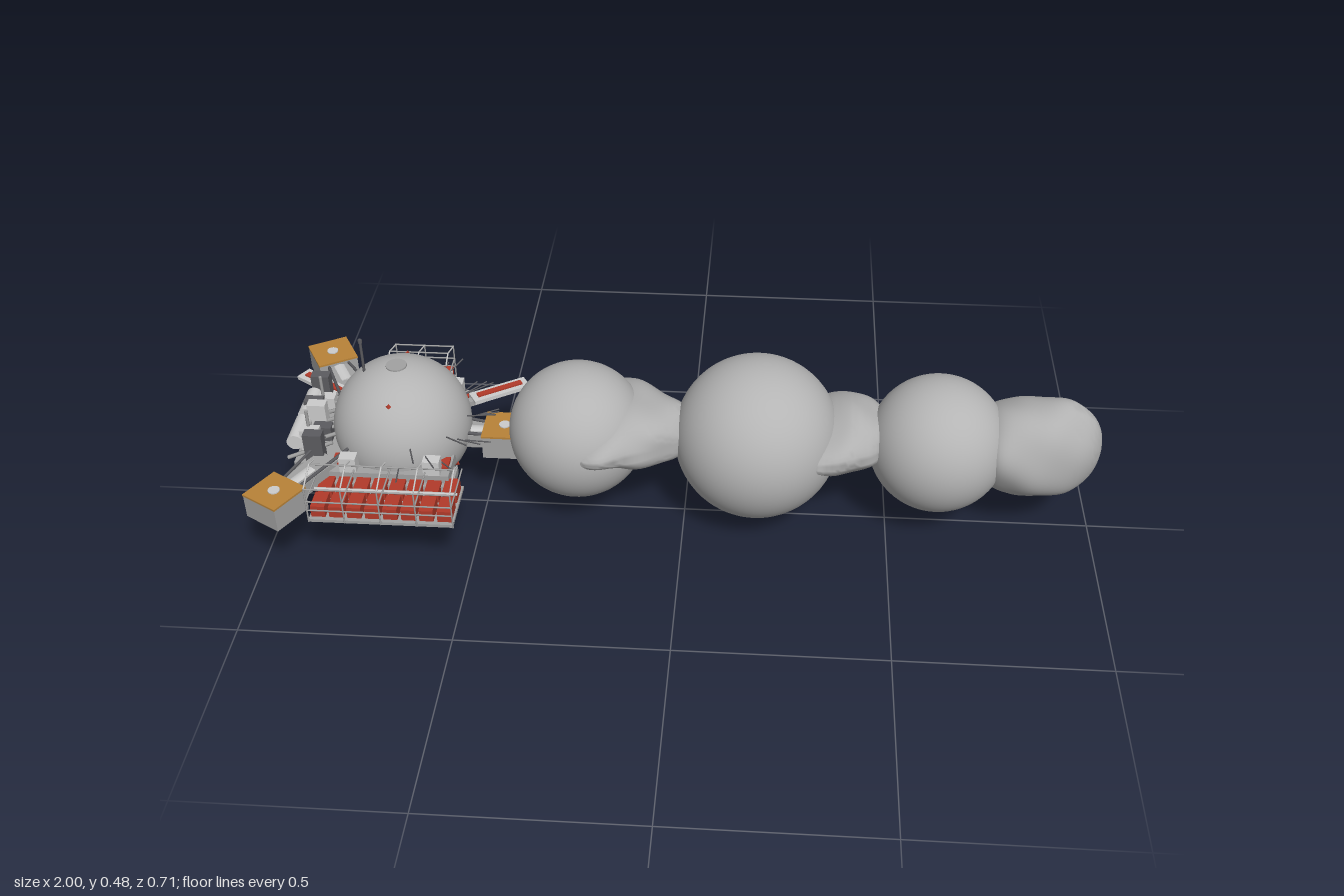
import * as THREE from 'three';
import { toCreasedNormals } from 'three/addons/utils/BufferGeometryUtils.js';

const material = (name, color, side = THREE.FrontSide) => {
  const m = new THREE.MeshStandardMaterial({ color, side });
  m.name = name;
  return m;
};

export function createModel() {
  const root = new THREE.Group();
  root.name = 'asteroidStation';
  const stone = material('stone grey', 0xb4b4b4);
  const metal = material('metal grey', 0xa2a2a2);
  const dark = material('dark grey', 0x5c5c60);
  const red = material('red', 0xb23a2a);
  const gold = material('gold', 0xb98338);
  const pale = material('pale grey', 0xcccccc);
  const Y = 0.242, HUB = -0.77, BALL = -0.69;

  const add = (parent, name, geo, mat, x = 0, y = 0, z = 0) => {
    const m = new THREE.Mesh(geo, mat);
    m.name = name;
    m.position.set(x, y, z);
    parent.add(m);
    return m;
  };
  const box = (p, name, mat, w, h, d, x, y, z) => add(p, name, new THREE.BoxGeometry(w, h, d), mat, x, y, z);
  const group = (name, parent = root) => {
    const g = new THREE.Group();
    g.name = name;
    parent.add(g);
    return g;
  };
  // Straight rod between two points
  const rod = (p, name, mat, a, b, r = 0.002) => {
    const va = new THREE.Vector3(...a), vb = new THREE.Vector3(...b);
    const dir = vb.clone().sub(va);
    const m = add(p, name, new THREE.CylinderGeometry(r, r, dir.length(), 6), mat);
    m.position.copy(va).add(vb).multiplyScalar(0.5);
    m.quaternion.setFromUnitVectors(new THREE.Vector3(0, 1, 0), dir.normalize());
    return m;
  };

  // Chain of spheres
  [[-0.26, 0.167], [0.175, 0.2], [0.61, 0.167], [BALL, 0.167]].forEach(([x, r], i) =>
    add(root, i === 3 ? 'stationSphere' : 'chainSphere', new THREE.SphereGeometry(r, 64, 40), stone, x, Y, 0));

  // Lumpy rocks lofted along x from rows of [x, half height, half depth]
  const rock = (name, rows, y, z, seed, bump) => {
    const curve = new THREE.CatmullRomCurve3(rows.map(r => new THREE.Vector3(...r)));
    const around = 56, along = 40;
    const geo = new THREE.CylinderGeometry(1, 1, 1, around, along, true);
    const pos = geo.attributes.position;
    for (let j = 0; j <= along; j++) {
      const s = curve.getPoint(1 - j / along);
      for (let i = 0; i <= around; i++) {
        const a = (i % around) / around * Math.PI * 2;
        const c = Math.cos(a), n = Math.sin(a);
        const lump = 1 + bump * (Math.sin(3 * a + s.x * 17 + seed) + 0.7 * Math.sin(5 * a - s.x * 29 + seed * 2)
          + 0.5 * Math.sin(2 * a + s.x * 55 + seed * 3));
        pos.setXYZ(j * (around + 1) + i, s.x, c * Math.max(s.y, 0) * lump, n * Math.max(s.z, 0) * lump);
      }
    }
    add(root, name, toCreasedNormals(geo, 0.9), rockMat, 0, y, z);
  };
  const rockMat = material('rock grey', 0xb0b0b0, THREE.DoubleSide);
  rock('connectorRock', [[-0.27, 0, 0.1], [-0.25, 0.03, 0.155], [-0.2, 0.065, 0.165], [-0.12, 0.085, 0.14],
    [-0.05, 0.07, 0.105], [0, 0.05, 0.065], [0.03, 0, 0]], 0.257, 0, 1, 0.04);
  rock('connectorRock', [[0.28, 0, 0.08], [0.31, 0.035, 0.145], [0.35, 0.065, 0.14], [0.4, 0.085, 0.12],
    [0.45, 0.07, 0.1], [0.48, 0.05, 0.06], [0.5, 0, 0]], 0.255, -0.005, 3, 0.04);
  rock('endRock', [[0.71, 0, 0], [0.735, 0.095, 0.1], [0.79, 0.115, 0.116], [0.86, 0.125, 0.108], [0.92, 0.12, 0.085],
    [0.965, 0.095, 0.055], [0.99, 0.055, 0.025], [1, 0, 0]], 0.244, 0, 5, 0.025);

  // Station deck beneath the sphere
  const station = group('station');
  box(station, 'deck', metal, 0.29, 0.022, 0.35, BALL - 0.005, 0.205, 0);
  for (const sx of [-1, 1]) for (const sz of [-1, 1]) {
    box(station, 'deckRedPanel', red, 0.03, 0.008, 0.04, BALL - 0.005 + sx * 0.125, 0.219, sz * 0.13);
    box(station, 'deckUnit', pale, 0.04, 0.04, 0.03, BALL + sx * 0.1, 0.235, sz * 0.16);
  }

  // Three pods on arms, set 120 degrees apart
  for (let i = 0; i < 3; i++) {
    const pod = group('pod', station);
    pod.position.set(HUB, 0, 0);
    pod.rotation.y = i * Math.PI * 2 / 3;
    box(pod, 'podBox', metal, 0.1, 0.06, 0.1, 0.33, 0.208, 0);
    box(pod, 'podTop', gold, 0.102, 0.005, 0.102, 0.33, 0.2405, 0);
    add(pod, 'podHatch', new THREE.CylinderGeometry(0.014, 0.014, 0.006, 16), pale, 0.33, 0.243, 0);
    box(pod, 'podArm', metal, 0.14, 0.035, 0.06, 0.22, 0.212, 0);
    const joint = add(pod, 'podJoint', new THREE.CylinderGeometry(0.028, 0.028, 0.08, 20), pale, 0.25, 0.205, 0);
    joint.rotation.z = Math.PI / 2;
    for (const s of [-1, 1]) rod(pod, 'podStrut', dark, [0.12, 0.25, s * 0.04], [0.29, 0.23, s * 0.025], 0.004);
  }

  // Railed trays filled with red blocks
  const tray = (name, x0, x1, z0, z1, cols, side) => {
    const g = group(name, station);
    const w = x1 - x0, d = z1 - z0, cx = (x0 + x1) / 2, cz = (z0 + z1) / 2;
    box(g, 'trayFloor', metal, w, 0.008, d, cx, 0.169, cz);
    const step = w / cols;
    for (let i = 0; i < cols; i++) for (let k = 0; k < 2; k++)
      box(g, 'redBlock', red, step * 0.78, 0.03, d * 0.38, x0 + step * (i + 0.5), 0.188, z0 + d * (0.26 + k * 0.48));
    const outer = side > 0 ? z1 : z0, inner = side > 0 ? z0 : z1, mid = outer - side * 0.065;
    for (const y of [0.2, 0.225, 0.262]) rod(g, 'longRail', metal, [x0, y, outer], [x1, y, outer]);
    rod(g, 'ridgeRail', metal, [x0, 0.285, mid], [x1, 0.285, mid]);
    rod(g, 'centreRail', pale, [x0, 0.206, cz], [x1, 0.206, cz], 0.004);
    const posts = Math.max(2, Math.round(cols / 2));
    for (let i = 0; i <= posts; i++) {
      const x = x0 + w * i / posts;
      rod(g, 'post', metal, [x, 0.165, outer], [x, 0.264, outer]);
      rod(g, 'slopedRail', pale, [x, 0.262, outer], [x, 0.285, mid]);
      rod(g, 'slopedRail', pale, [x, 0.285, mid], [x, 0.27, outer - side * 0.1]);
      rod(g, 'sideRail', metal, [x, 0.225, outer], [x, 0.225, inner]);
    }
  };
  tray('frontTray', -0.86, -0.52, 0.155, 0.3, 8, 1);
  tray('backTray', -0.77, -0.62, -0.3, -0.23, 4, -1);
  box(station, 'frontBridge', metal, 0.3, 0.02, 0.08, BALL, 0.185, 0.15);
  for (const s of [-1, 1]) {
    box(station, 'backBridge', metal, 0.022, 0.02, 0.12, BALL + s * 0.045, 0.21, -0.2);
    const p = box(station, 'slopedRedPanel', red, 0.02, 0.008, 0.075, BALL + s * 0.015, 0.195, -0.225);
    p.rotation.x = -0.35;
  }

  // Slanted radiator wings at the back corners
  for (const s of [-1, 1]) {
    const wing = group('wing', station);
    wing.position.set(-0.705 + s * 0.225, 0.225, -0.165);
    wing.rotation.y = s > 0 ? 0.56 : Math.PI - 0.56;
    box(wing, 'wingPanel', pale, 0.15, 0.01, 0.042, 0, 0, 0);
    box(wing, 'wingStripe', red, 0.12, 0.006, 0.016, 0, 0.006, 0);
    box(wing, 'wingArm', metal, 0.09, 0.014, 0.018, -0.09, -0.008, 0);
  }

  // Machinery bank on the right end
  const bank = group('machineryBank', station);
  box(bank, 'bankBase', metal, 0.09, 0.025, 0.28, -0.885, 0.2, 0);
  for (let i = -3; i <= 3; i++) {
    const h = 0.04 + 0.018 * ((i + 5) % 3);
    box(bank, 'bankUnit', i % 2 ? dark : pale, 0.045, h, 0.028, -0.9 + 0.02 * (i % 2), 0.212 + h / 2, i * 0.04);
    rod(bank, 'bankPipe', metal, [-0.95, 0.21, i * 0.04], [-0.84, 0.25, i * 0.035], 0.005);
  }
  for (const s of [-1, 1]) {
    const tank = add(bank, 'tank', new THREE.CylinderGeometry(0.02, 0.02, 0.09, 20), pale, -0.935, 0.24, s * 0.055);
    tank.rotation.x = Math.PI / 2;
    rod(bank, 'bankMast', metal, [-0.905, 0.2, s * 0.07], [-0.905, 0.315, s * 0.07], 0.004);
  }

  // Fine rods bristling from the sphere
  for (let i = 0; i < 16; i++) {
    const a = -1.45 + i * 0.193, c = Math.cos(a), s = Math.sin(a), y = 0.225 + 0.025 * (i % 3);
    rod(station, 'spike', dark, [BALL + 0.15 * c, y, 0.15 * s], [BALL + 0.235 * c, y + 0.015, 0.235 * s], 0.0018);
  }

  // Red studs on the upper and lower sphere
  const stud = (a, dy) => {
    const rr = Math.sqrt(0.167 ** 2 - dy ** 2);
    const n = new THREE.Vector3(rr * Math.cos(a), dy, rr * Math.sin(a));
    const m = add(station, 'redStud', new THREE.ConeGeometry(0.013, 0.016, 4), red, BALL + n.x, Y + n.y, n.z);
    m.quaternion.setFromUnitVectors(new THREE.Vector3(0, 1, 0), n.normalize());
  };
  for (const s of [-1, 1]) stud(s * Math.PI / 2, 0.125);
  for (let i = 0; i < 8; i++) stud(Math.PI / 8 + i * Math.PI / 4, i % 2 ? -0.11 : -0.08);
  add(station, 'topHatch', new THREE.CylinderGeometry(0.025, 0.025, 0.006, 24), metal, BALL, Y + 0.166, 0);

  // Antenna above, engine bell and probe below
  rod(station, 'antenna', dark, [HUB, 0.37, 0], [HUB, 0.48, 0], 0.0035);
  add(station, 'antennaTip', new THREE.CylinderGeometry(0.005, 0.005, 0.008, 12), dark, HUB, 0.474, 0);
  add(station, 'engineBell', new THREE.CylinderGeometry(0.018, 0.042, 0.075, 28), metal, HUB, 0.075, 0);
  add(station, 'probe', new THREE.CylinderGeometry(0.004, 0.008, 0.04, 14), pale, HUB, 0.02, 0);
  return root;
}
